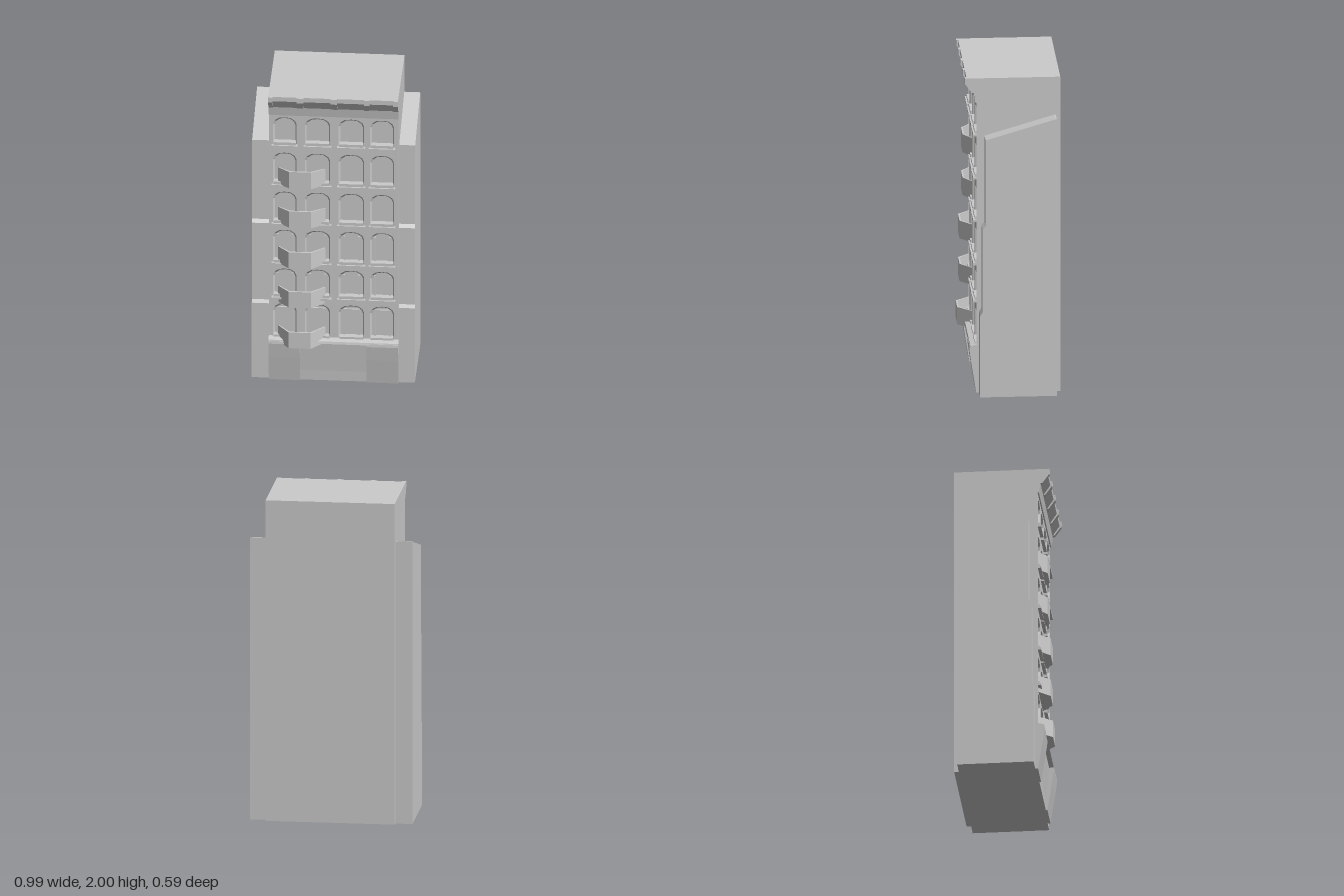
import * as THREE from 'three';

const grey = new THREE.MeshStandardMaterial({ color: 0xcccccc, flatShading: true, side: THREE.DoubleSide });

const WALL = 0.212;  // facade plane
const BACK = 0.185;  // window pane plane
const COLUMNS = [[-0.365, -0.222], [-0.172, -0.018], [0.033, 0.188], [0.225, 0.37]];
const ROWS = [[0.3, 0.53], [0.582, 0.772], [0.82, 1.042], [1.095, 1.308], [1.365, 1.58], [1.64, 1.826]];

function add(parent, name, geometry) {
  const mesh = new THREE.Mesh(geometry, grey);
  mesh.name = name;
  parent.add(mesh);
  return mesh;
}

// Box given by its limits
function box(parent, name, x0, x1, y0, y1, z0, z1) {
  const g = new THREE.BoxGeometry(x1 - x0, y1 - y0, z1 - z0);
  g.translate((x0 + x1) / 2, (y0 + y1) / 2, (z0 + z1) / 2);
  return add(parent, name, g);
}

const toShape = pts => new THREE.Shape(pts.map(p => new THREE.Vector2(...p)));

// Side profile of [z, y] points swept from x0 to x1
function sweepX(parent, name, profile, x0, x1) {
  const g = new THREE.ExtrudeGeometry(toShape(profile), { depth: x1 - x0, bevelEnabled: false });
  g.rotateY(-Math.PI / 2).translate(x1, 0, 0);
  return add(parent, name, g);
}

// Segmental-arch window outline, shrunk by side and top margins
function archOutline([x0, x1], [y0, y1], side = 0, top = 0) {
  const a = x0 + side, b = x1 - side, t = y1 - top, w = b - a;
  return [[a, y0], [b, y0], [b, t - 0.045], [b - w * 0.07, t - 0.022], [b - w * 0.25, t - 0.004],
    [(a + b) / 2, t], [a + w * 0.25, t - 0.004], [a + w * 0.07, t - 0.022], [a, t - 0.045]];
}

// Surface between two outlines with equal point counts
function loft(outer, zOuter, inner, zInner) {
  const pos = [], n = outer.length;
  for (let i = 0; i < n; i++) {
    const j = (i + 1) % n;
    const a = [...outer[i], zOuter], b = [...outer[j], zOuter];
    const c = [...inner[j], zInner], d = [...inner[i], zInner];
    pos.push(...a, ...b, ...c, ...a, ...c, ...d);
  }
  const g = new THREE.BufferGeometry();
  g.setAttribute('position', new THREE.Float32BufferAttribute(pos, 3));
  g.computeVertexNormals();
  return g;
}

function makeWindow(column, row, rowIndex) {
  const group = new THREE.Group();
  group.name = 'window';
  const outer = archOutline(column, row), inner = archOutline(column, row, 0.009, 0.02);
  add(group, 'splayedReveal', loft(outer, WALL, inner, BACK));
  const pane = add(group, 'pane', new THREE.ShapeGeometry(toShape(inner)));
  pane.position.z = BACK;
  const [x0, x1] = column, [y0, y1] = row, mid = (x0 + x1) / 2;
  // Casements on the lower floors
  if (rowIndex < 3) {
    for (const s of [-1, 1]) {
      const x = mid + s * 0.045;
      box(group, 'casementPost', x - 0.005, x + 0.005, y0, y1 - 0.04, BACK, BACK + 0.01);
    }
    if (rowIndex === 0) box(group, 'doorHead', mid - 0.05, mid + 0.05, y1 - 0.045, y1 - 0.035, BACK, BACK + 0.01);
  }
  // Sill with a thin shelf below
  box(group, 'sill', x0 + 0.004, x1 - 0.004, y0 - 0.002, y0 + 0.016, BACK, 0.222);
  box(group, 'sillShelf', x0 - 0.008, x1 + 0.008, y0 - 0.016, y0 - 0.002, BACK, 0.232);
  return group;
}

// Three-sided balcony parapet with a floor
function makeBalcony(y0, y1, front) {
  const group = new THREE.Group();
  group.name = 'balcony';
  const plan = (t) => [[-0.335 + t, WALL - 0.004], [-0.265 + t * 0.5, front - t],
    [-0.13 - t * 0.5, front - t], [-0.048 - t, WALL - 0.004]];
  const raise = (name, pts, bottom, height) => {
    const g = new THREE.ExtrudeGeometry(toShape(pts.map(([x, z]) => [x, -z])), { depth: height, bevelEnabled: false });
    g.rotateX(-Math.PI / 2).translate(0, bottom, 0);
    add(group, name, g);
  };
  raise('parapet', [...plan(0), ...plan(0.01).reverse()], y0, y1 - y0);
  raise('balconyFloor', plan(0.002), y0, 0.03);
  return group;
}

export function createModel() {
  const model = new THREE.Group();
  model.name = 'building';

  // Main block
  box(model, 'mainBlock', -0.39, 0.398, 0, 2, -0.295, 0.18);

  // Facade wall pierced by the windows
  const wall = toShape([[-0.39, 0.28], [0.398, 0.28], [0.398, 1.846], [-0.39, 1.846]]);
  const windows = new THREE.Group();
  windows.name = 'windows';
  ROWS.forEach((row, r) => COLUMNS.forEach(column => {
    wall.holes.push(new THREE.Path(archOutline(column, row).reverse().map(p => new THREE.Vector2(...p))));
    windows.add(makeWindow(column, row, r));
  }));
  const facade = add(model, 'facade', new THREE.ExtrudeGeometry(wall, { depth: WALL - 0.18, bevelEnabled: false }));
  facade.position.z = 0.18;
  model.add(windows);

  // Battered base piers, recessed centre and ledge
  const pier = [[0.17, 0], [0.215, 0], [0.242, 0.17], [0.256, 0.27], [0.254, 0.288], [0.17, 0.288]];
  sweepX(model, 'basePier', pier, -0.39, -0.2);
  sweepX(model, 'basePier', pier, 0.203, 0.398);
  sweepX(model, 'baseCentre', [[0.17, 0], [0.205, 0], [0.208, 0.07], [0.226, 0.285], [0.17, 0.285]], -0.2, 0.203);
  sweepX(model, 'baseLedge', [[0.17, 0.28], [0.254, 0.28], [0.25, 0.295], [0.215, 0.304], [0.17, 0.304]], -0.39, 0.398);

  // Cornice and its brackets
  sweepX(model, 'cornice', [[0.17, 1.844], [0.22, 1.844], [0.23, 1.905], [0.238, 1.917],
    [0.268, 1.962], [0.273, 1.97], [0.273, 2], [0.17, 2]], -0.39, 0.398);
  for (const [x0, x1] of [[-0.39, -0.363], [-0.217, -0.176], [-0.012, 0.028], [0.193, 0.224], [0.37, 0.398]])
    sweepX(model, 'corniceBracket', [[0.22, 1.908], [0.242, 1.908], [0.284, 1.967], [0.284, 2], [0.22, 2]], x0, x1);

  // Balconies
  for (const [y0, y1, z] of [[0.265, 0.375, 0.294], [0.54, 0.65, 0.28], [0.812, 0.925, 0.28],
    [1.087, 1.2, 0.262], [1.36, 1.475, 0.262]]) model.add(makeBalcony(y0, y1, z));

  // Side wings, stepped at the front, with sloping roofs
  const wing = [[-0.267, 0], [0.198, 0], [0.198, 0.518], [0.184, 0.537], [0.184, 1.068],
    [0.165, 1.086], [0.165, 1.635], [-0.26, 1.76], [-0.267, 1.76]];
  sweepX(model, 'rightWing', wing, -0.495, -0.385);
  sweepX(model, 'leftWing', wing, 0.393, 0.495);

  return model;
}
